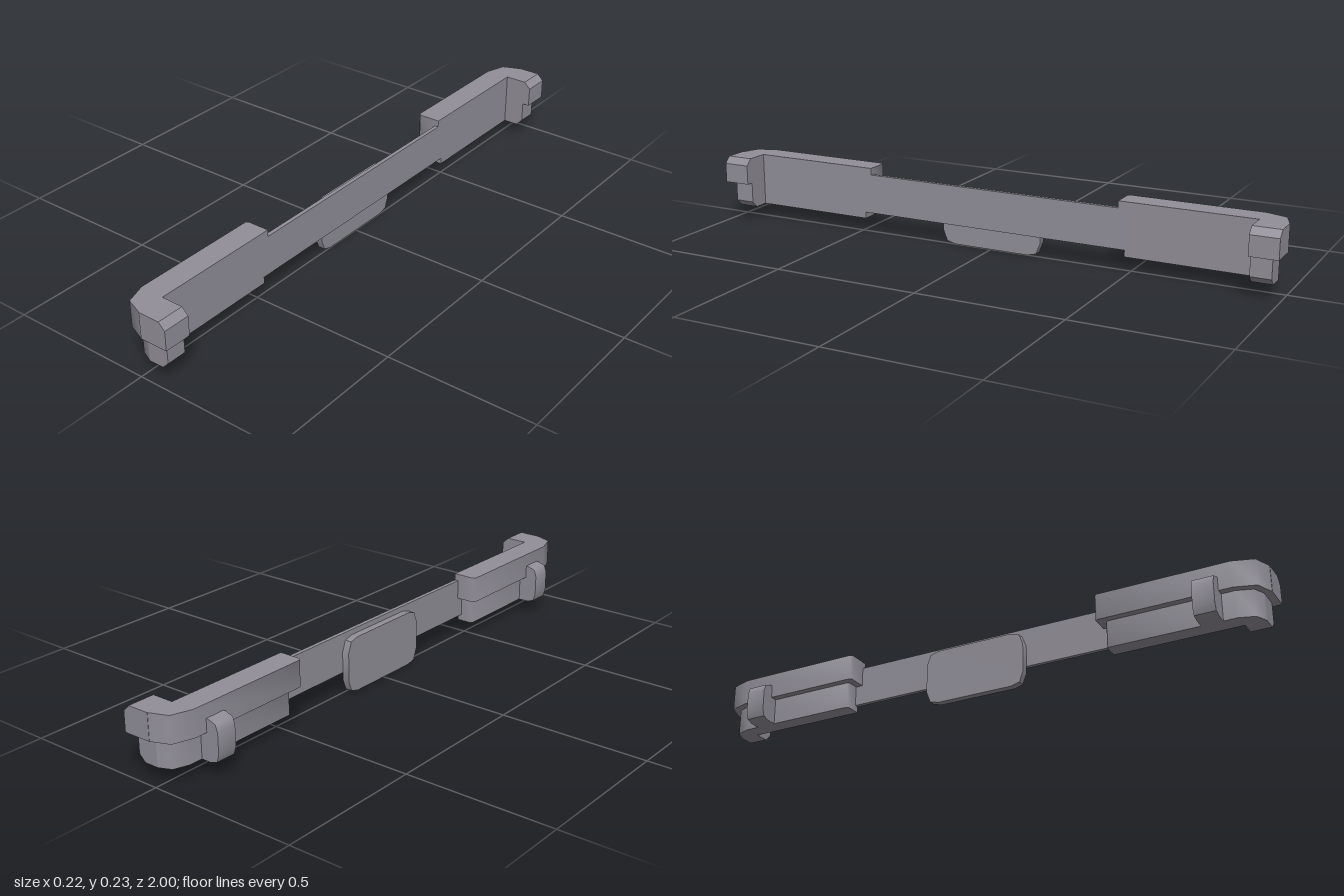
import * as THREE from 'three';
import { toCreasedNormals } from 'three/addons/utils/BufferGeometryUtils.js';

const shapeOf = (pts) => new THREE.Shape(pts.map(([x, y]) => new THREE.Vector2(x, y)));

// Outline in x,y extruded along z between z0 and z1
function extrudeZ(pts, z0, z1, crease) {
  const g = new THREE.ExtrudeGeometry(shapeOf(pts), { depth: z1 - z0, bevelEnabled: false });
  g.translate(0, 0, z0);
  return toCreasedNormals(g, crease);
}

// Outline in x,z extruded upwards from y0 to y1
function extrudeY(pts, y0, y1, crease) {
  const g = new THREE.ExtrudeGeometry(shapeOf(pts.map(([x, z]) => [x, -z])), { depth: y1 - y0, bevelEnabled: false });
  g.rotateX(-Math.PI / 2);
  g.translate(0, y0, 0);
  return toCreasedNormals(g, crease);
}

export function createModel() {
  const model = new THREE.Group();
  model.name = 'clipBar';
  const grey = new THREE.MeshStandardMaterial({ color: 0x918e98 });
  grey.name = 'plastic grey';
  const add = (name, geometry) => {
    const m = new THREE.Mesh(geometry, grey);
    m.name = name;
    model.add(m);
  };
  const face = 0.014; // plane of the flat inner face

  // Thin web joining both ends
  const web = new THREE.BoxGeometry(face, 0.135, 0.98);
  web.translate(face / 2, 0.1375, 0);
  add('web', web);

  // Round-cornered tab behind the web
  const w = 0.18, h = 0.187, r = 0.045, k = 0.014;
  const corner = [[w - r, 0], [w - k, k * 0.6], [w, r], [w, h - r], [w - k, h - k * 0.6], [w - r, h]];
  const tabOutline = [...corner, ...corner.map(([z, y]) => [-z, y]).reverse()];
  const tab = extrudeZ(tabOutline, 0, 0.025, 0.9);
  tab.rotateY(-Math.PI / 2); // thickness now runs to -x
  add('centreTab', tab);

  for (const [side, s] of [['front', 1], ['back', -1]]) {
    const flip = (pts) => pts.map(([x, z]) => [x, z * s]);
    const span = (a, b) => (s > 0 ? [a, b] : [-b, -a]);

    // Wide upper rail and narrower lower rail, rounded at the outer corner
    add(side + 'UpperRail', extrudeY(flip([
      [face, 0.455], [-0.062, 0.455], [-0.07, 0.463], [-0.07, 0.905],
      [-0.047, 0.975], [face, 0.999], [face, 1],
    ]), 0.139, 0.228, 0.95));
    add(side + 'LowerRail', extrudeY(flip([
      [face, 0.48], [-0.037, 0.48], [-0.045, 0.488], [-0.045, 0.905],
      [-0.027, 0.957], [face, 0.975],
    ]), 0.048, 0.139, 0.95));

    // End hooks turning towards +x, with a chamfered tip
    add(side + 'UpperHook', extrudeZ([
      [face, 0.139], [0.111, 0.139], [0.111, 0.206], [0.089, 0.228], [face, 0.228],
    ], ...span(0.907, 1), 0.3));
    add(side + 'LowerHook', extrudeZ([
      [face, 0.048], [0.065, 0.048], [0.087, 0.07], [0.087, 0.139], [face, 0.139],
    ], ...span(0.907, 0.975), 0.3));

    // Rounded lug on the outer side
    add(side + 'Lug', extrudeZ([
      [-0.04, 0.048], [-0.08, 0.048], [-0.105, 0.056], [-0.113, 0.081],
      [-0.113, 0.15], [-0.105, 0.174], [-0.077, 0.183], [-0.04, 0.183],
    ], ...span(0.79, 0.86), 0.95));
  }
  return model;
}
